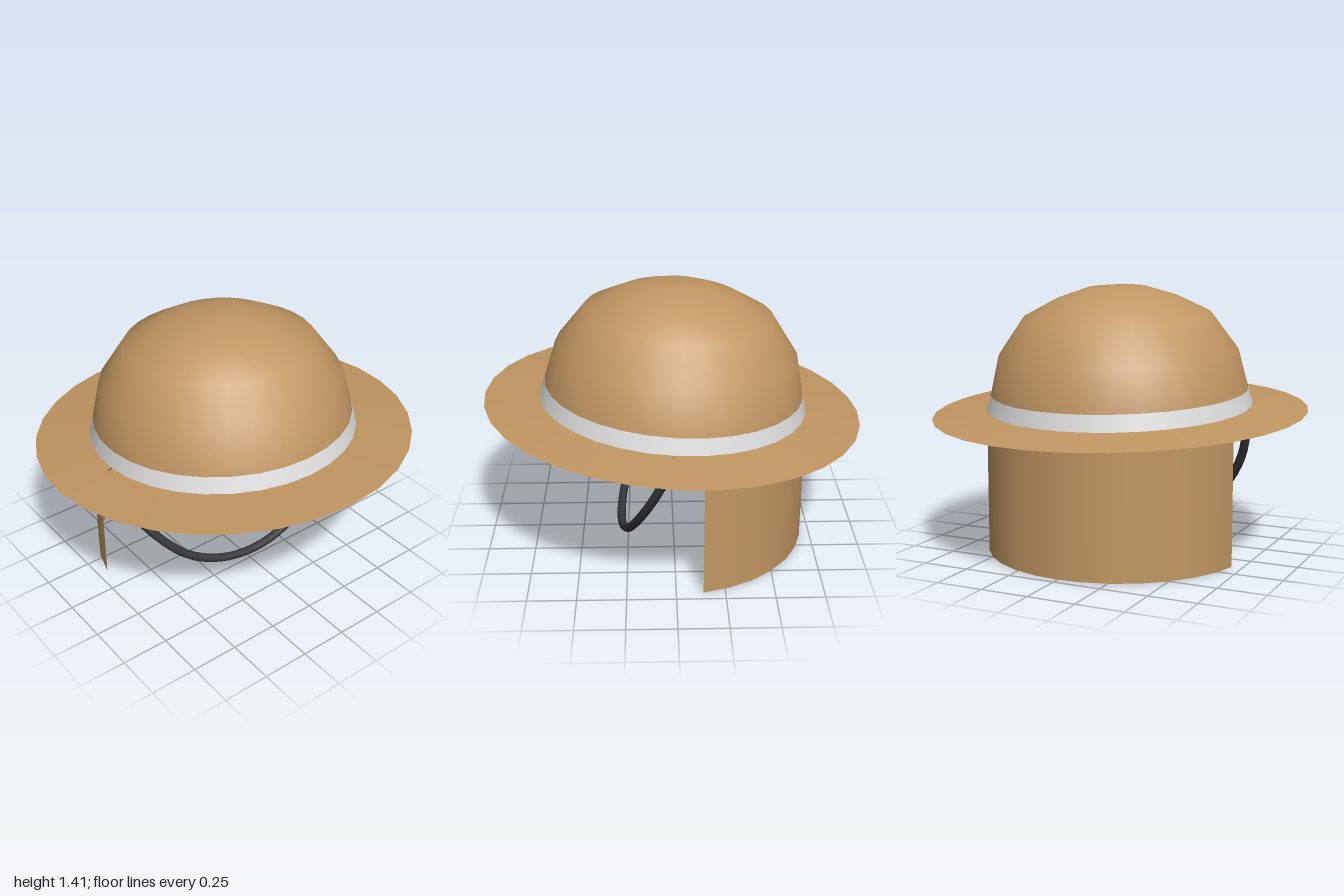
import * as THREE from 'three';

export function createModel() {
  const model = new THREE.Group();
  model.name = 'hat';
  const tan = new THREE.MeshStandardMaterial({ name: 'tan cloth', color: 0xc19662, side: THREE.DoubleSide });
  const white = new THREE.MeshStandardMaterial({ name: 'white band', color: 0xdedede, side: THREE.DoubleSide });
  const black = new THREE.MeshStandardMaterial({ name: 'black strap', color: 0x36383b });

  const SEGMENTS = 32, BASE_Y = 0.78, TILT = 0.066, RADIUS = 0.708;

  const add = (parent, name, geometry, material) => {
    const mesh = new THREE.Mesh(geometry, material);
    mesh.name = name;
    parent.add(mesh);
    return mesh;
  };
  const lathe = (points) =>
    new THREE.LatheGeometry(points.map(([r, y]) => new THREE.Vector2(r, y)), SEGMENTS);

  // Shell: open crown, band and brim, tilted up towards the wearer's front (+x)
  const shell = new THREE.Group();
  shell.name = 'shell';
  shell.position.y = BASE_Y;
  shell.rotation.z = TILT;
  model.add(shell);
  add(shell, 'crown', lathe([
    [0.685, 0.082], [0.635, 0.287], [0.495, 0.483], [0.32, 0.572], [0.155, 0.625], [0, 0.632],
  ]), tan);
  add(shell, 'band', lathe([[RADIUS, 0], [0.685, 0.082]]), white);
  add(shell, 'brim', lathe([[0.998, -0.027], [RADIUS, 0]]), tan);

  // Neck flap: part of a cylinder, with its top edge following the tilted brim
  const arc = (14 / SEGMENTS) * Math.PI * 2;
  const flap = new THREE.CylinderGeometry(RADIUS, RADIUS, 1, 14, 1, true, Math.PI * 1.5 - arc / 2, arc);
  const pos = flap.attributes.position;
  for (let i = 0; i < pos.count; i++) {
    pos.setY(i, pos.getY(i) > 0 ? BASE_Y + TILT * pos.getX(i) : 0);
  }
  add(model, 'neckFlap', flap, tan);

  // Chin strap: a hanging loop lying in a slanted plane
  const half = [[0.725, 0.775], [0.66, 0.54], [0.555, 0.368], [0.405, 0.215], [0.21, 0.124]];
  const loop = [...half, [0, 0.096], ...half.map(([z, y]) => [-z, y]).reverse()];
  const path = new THREE.CatmullRomCurve3(
    loop.map(([z, y]) => new THREE.Vector3((0.766 - y) * 0.43, y, z)));
  add(model, 'chinStrap', new THREE.TubeGeometry(path, 40, 0.023, 10), black);

  return model;
}
